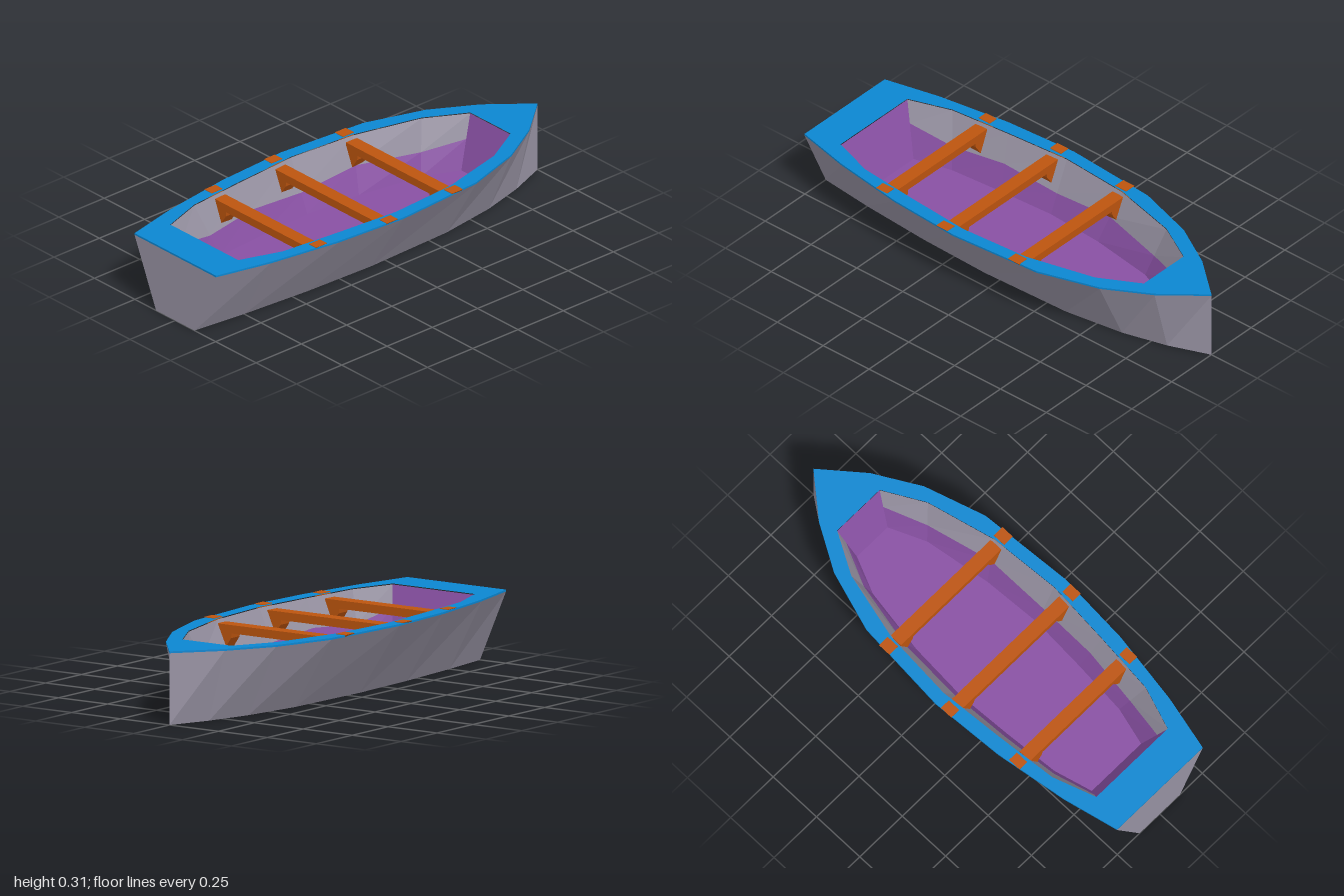
import * as THREE from 'three';

const TOP = 0.308, RIM = 0.008, FLOOR = 0.08;

// half outlines as [x, z], bow to stern
const OUTER = [[0, -1], [0.15, -0.82], [0.265, -0.62], [0.35, -0.35], [0.382, 0.08], [0.36, 0.42], [0.31, 0.75], [0.252, 1]];
const OPENING = [[0.125, -0.74], [0.225, -0.56], [0.302, -0.25], [0.325, 0.07], [0.302, 0.37], [0.275, 0.65], [0.21, 0.84]];
const INNER = [[0.09, -0.66], [0.16, -0.5], [0.208, -0.2], [0.225, 0.07], [0.21, 0.33], [0.19, 0.58], [0.145, 0.75]];
// share of the side lining that stays bare, per station
const BARE = [0.45, 0.58, 0.5, 0.62, 0.52, 0.6, 0.4];

// closed outline from a half outline, +x side first
const mirror = half => [...half, ...half.filter(p => p[0] > 0).reverse().map(([x, z]) => [-x, z])];
const atHeight = (ring, y) => ring.map(([x, z]) => [x, y, z]);
const toShape = (ring, s) => new THREE.Shape(ring.map(([x, z]) => new THREE.Vector2(x, s * z)));

// quads between an upper and a lower ring; keep(i) chooses the segments
function strip(upper, lower, inward = false, keep = () => true) {
  const pos = [], n = upper.length;
  for (let i = 0; i < n; i++) {
    if (!keep(i)) continue;
    const j = (i + 1) % n;
    const [a, b, c, d] = inward
      ? [upper[j], upper[i], lower[i], lower[j]]
      : [upper[i], upper[j], lower[j], lower[i]];
    pos.push(...a, ...b, ...c, ...a, ...c, ...d);
  }
  const g = new THREE.BufferGeometry();
  g.setAttribute('position', new THREE.Float32BufferAttribute(pos, 3));
  g.computeVertexNormals();
  return g;
}

export function createModel() {
  const boat = new THREE.Group();
  boat.name = 'rowingBoat';
  const material = (name, color) => {
    const m = new THREE.MeshStandardMaterial({ color });
    m.name = name;
    return m;
  };
  const grey = material('hullGrey', 0x9792a2);
  const blue = material('rimBlue', 0x0b86d0);
  const purple = material('liningPurple', 0x8850a3);
  const orange = material('benchOrange', 0xbc540e);
  const add = (name, geometry, mat, parent = boat) => {
    const mesh = new THREE.Mesh(geometry, mat);
    mesh.name = name;
    parent.add(mesh);
    return mesh;
  };

  // flared outer hull and flat bottom
  const outer = mirror(OUTER);
  const keel = outer.map(([x, z]) => [x * 0.472, z]);
  add('hullSides', strip(atHeight(outer, TOP - RIM), atHeight(keel, 0)), grey);
  add('hullBottom', new THREE.ShapeGeometry(toShape(keel, 1)).rotateX(Math.PI / 2), grey);

  // flat rim with the cockpit opening
  const opening = mirror(OPENING);
  const rimShape = toShape(outer, -1);
  rimShape.holes.push(toShape(opening, -1));
  const rimGeometry = new THREE.ExtrudeGeometry(rimShape, { depth: RIM, bevelEnabled: false });
  add('rim', rimGeometry.rotateX(-Math.PI / 2).translate(0, TOP - RIM, 0), blue);

  // inner walls: bare above, lined below; end walls fully lined
  const inner = mirror(INNER);
  const bare = [...BARE, ...[...BARE].reverse()];
  const up = atHeight(opening, TOP - RIM / 2), low = atHeight(inner, FLOOR);
  const mid = up.map((p, i) => p.map((v, k) => v + (low[i][k] - v) * bare[i]));
  const n = OPENING.length;
  const isSide = i => i % n !== n - 1;
  add('innerWalls', strip(up, mid, true, isSide), grey);
  add('liningSides', strip(mid, low, true, isSide), purple);
  add('liningEnds', strip(up, low, true, i => !isSide(i)), purple);
  add('floor', new THREE.ShapeGeometry(toShape(inner, -1)).rotateX(-Math.PI / 2).translate(0, FLOOR, 0), purple);

  // benches: z, outer bracket x, opening x, inward slope of the bracket
  const width = 0.06;
  for (const [z, xo, xi, slope] of [[-0.235, 0.363, 0.3, 0.726], [0.14, 0.381, 0.322, 0.74], [0.5, 0.346, 0.289, 0.78]]) {
    const bench = new THREE.Group();
    bench.name = 'bench';
    bench.position.z = z;
    boat.add(bench);
    add('benchPlank', new THREE.BoxGeometry(2 * xi - 0.01, 0.035, width).translate(0, 0.2725, 0), orange, bench);
    // bracket hooked over the rim, with a knee below the plank
    const y = TOP + 0.002;
    const knee = new THREE.Shape([
      [xo, y], [xi + 0.012, y], [xi + 0.012, 0.285], [xi - 0.08, 0.27],
      [xi - 0.075, 0.235], [xi - 0.045, 0.19], [xo - slope * 0.12, y - 0.12],
    ].map(p => new THREE.Vector2(...p)));
    for (const side of [0, Math.PI]) {
      const g = new THREE.ExtrudeGeometry(knee, { depth: width, bevelEnabled: false });
      add('benchBracket', g.translate(0, 0, -width / 2), orange, bench).rotation.y = side;
    }
  }
  return boat;
}
